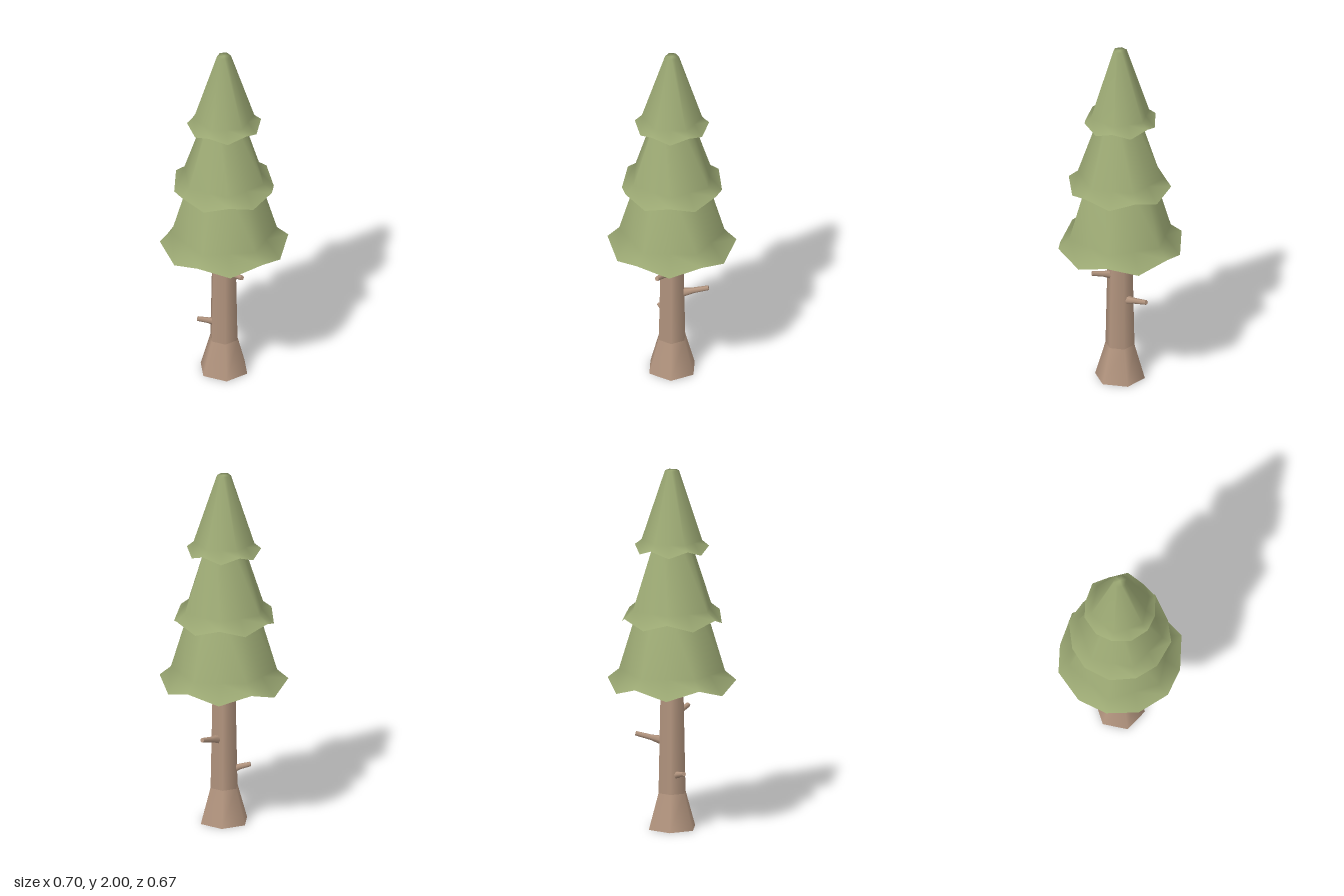
import * as THREE from 'three';

const foliage = new THREE.MeshStandardMaterial({ color: 0x9ba873, side: THREE.DoubleSide });
foliage.name = 'needle green';
const bark = new THREE.MeshStandardMaterial({ color: 0xb3957f });
bark.name = 'bark brown';

const SIDES = 12;

function part(name, geometry, material) {
  const mesh = new THREE.Mesh(geometry, material);
  mesh.name = name;
  return mesh;
}

// Six-sided cone with a flared, zigzag skirt and a flat underside.
// top, ring, high and low are [radius, y]; odd turns the corners by 30 degrees.
function tier(name, { top, ring, high, low, odd }) {
  const positions = [0, top[1], 0];
  const index = [];
  const isCorner = i => i % 2 === (odd ? 1 : 0);
  const flat = Math.cos(Math.PI / 6);
  const hex = ([r, y], i) => [isCorner(i) ? r : r * flat, y];
  const rows = [
    i => hex(top, i),
    i => hex(ring, i),
    i => (isCorner(i) ? high : low),
  ];
  rows.forEach(row => {
    for (let i = 0; i < SIDES; i++) {
      const [r, y] = row(i);
      const a = (i / SIDES) * Math.PI * 2;
      positions.push(r * Math.cos(a), y, r * Math.sin(a));
    }
  });
  for (let i = 0; i < SIDES; i++) {
    const next = (i + 1) % SIDES;
    index.push(0, 1 + next, 1 + i);
    for (let row = 0; row < rows.length - 1; row++) {
      const a = 1 + row * SIDES + i, b = 1 + row * SIDES + next;
      index.push(a, b, a + SIDES, b, b + SIDES, a + SIDES);
    }
  }
  const shell = new THREE.BufferGeometry();
  shell.setAttribute('position', new THREE.Float32BufferAttribute(positions, 3));
  shell.setIndex(index);
  shell.computeVertexNormals();

  const underside = new THREE.CircleGeometry(ring[0], 6, odd ? Math.PI / 6 : 0);
  underside.rotateX(Math.PI / 2).translate(0, ring[1], 0);

  const group = new THREE.Group();
  group.name = name;
  group.add(part('skirtedCone', shell, foliage), part('underside', underside, foliage));
  return group;
}

// Broken twig: thick at the trunk, thinner towards a blunt tip.
function twig(name, from, to) {
  const start = new THREE.Vector3(...from);
  const along = new THREE.Vector3(...to).sub(start);
  const length = along.length();
  const profile = [[0.026, 0], [0.016, length * 0.4], [0.013, length], [0.013, length], [0, length]];
  const geometry = new THREE.LatheGeometry(profile.map(p => new THREE.Vector2(...p)), 6);
  const mesh = part(name, geometry, bark);
  mesh.position.copy(start);
  mesh.quaternion.setFromUnitVectors(new THREE.Vector3(0, 1, 0), along.normalize());
  return mesh;
}

export function createModel() {
  const tree = new THREE.Group();
  tree.name = 'pineTree';

  // Trunk with flared foot
  const foot = new THREE.CylinderGeometry(0.081, 0.139, 0.2, 6).translate(0, 0.1, 0);
  const stem = new THREE.CylinderGeometry(0.066, 0.081, 0.7, 6).translate(0, 0.55, 0);
  tree.add(part('trunkFoot', foot, bark), part('trunkStem', stem, bark));

  // Twigs
  tree.add(
    twig('lowTwig', [-0.045, 0.303, 0], [-0.145, 0.33, 0.005]),
    twig('middleTwig', [0.03, 0.487, -0.045], [0.105, 0.522, -0.17]),
    twig('highTwig', [0.025, 0.632, 0.04], [0.085, 0.656, 0.137]),
  );

  // Foliage
  tree.add(
    tier('lowerFoliage', { top: [0.18, 1.25], ring: [0.29, 0.885], high: [0.352, 0.835], low: [0.335, 0.78], odd: false }),
    tier('middleFoliage', { top: [0.1, 1.63], ring: [0.235, 1.235], high: [0.286, 1.195], low: [0.273, 1.15], odd: true }),
    tier('upperFoliage', { top: [0.038, 2], ring: [0.166, 1.612], high: [0.203, 1.583], low: [0.194, 1.547], odd: false }),
  );
  return tree;
}
